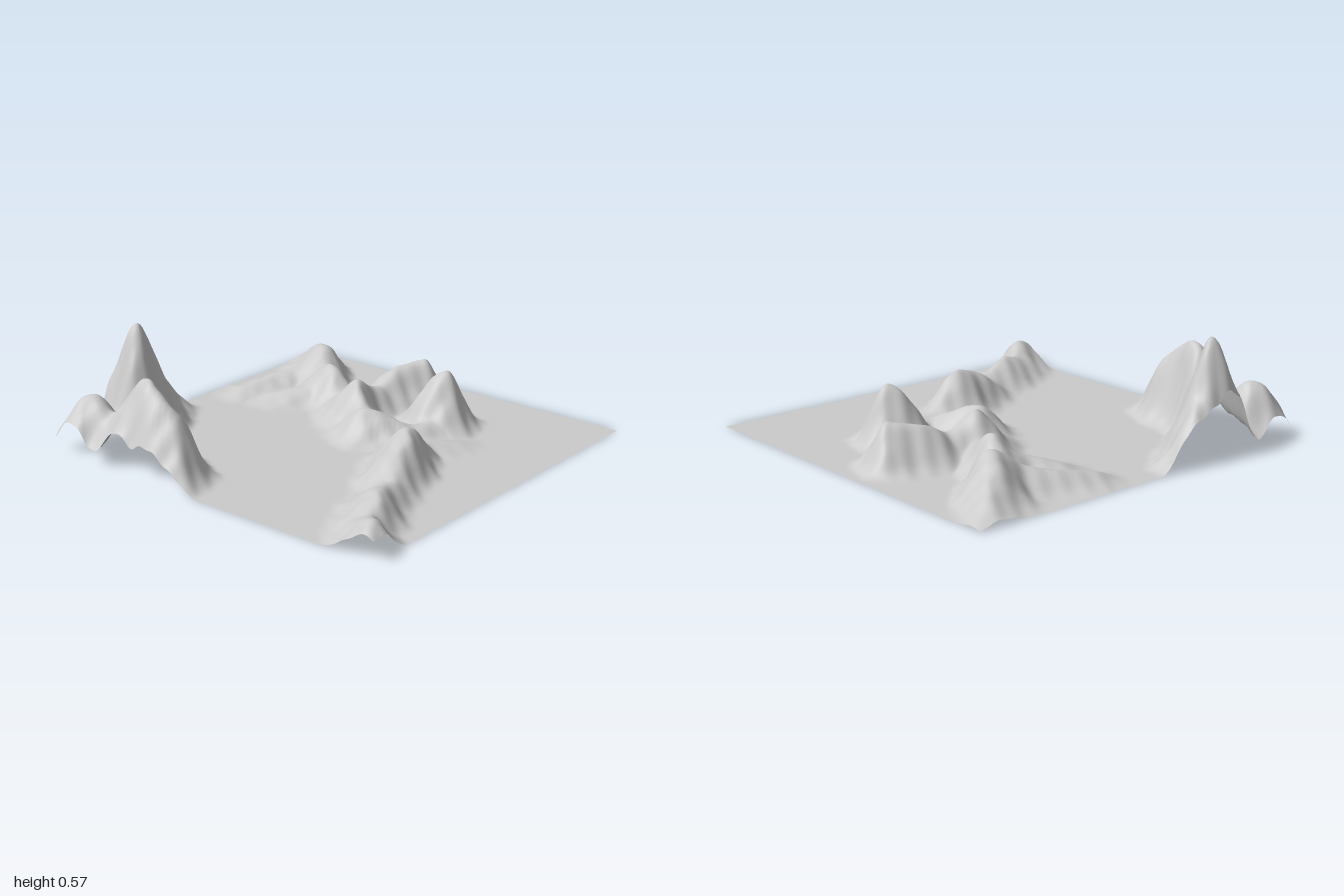
import * as THREE from 'three';

// Crest lines of the mountain ridges, as [x, z, height]
const crests = [
  // tall back-left massif with its corner and side spurs
  [[-0.91, -0.23, 0.15], [-0.87, -0.29, 0.29], [-0.82, -0.51, 0.4], [-0.73, -0.68, 0.22], [-0.6, -0.79, 0.28],
    [-0.53, -0.87, 0.57], [-0.42, -0.91, 0.34], [-0.27, -0.97, 0.17]],
  [[-0.95, -0.87, 0.18], [-0.87, -0.85, 0.29], [-0.85, -0.7, 0.2], [-0.82, -0.55, 0.3]],
  [[-0.84, -0.48, 0.27], [-1.02, -0.56, 0.18]],
  // long front-left ridge with a low apron
  [[-1.03, 1, 0.07], [-0.92, 0.93, 0.145], [-0.8, 0.83, 0.1], [-0.65, 0.74, 0.13], [-0.4, 0.63, 0.09],
    [-0.23, 0.55, 0.17], [-0.07, 0.475, 0.2], [0.01, 0.44, 0.13], [0.1, 0.41, 0.05], [0.3, 0.5, 0.02]],
  // front-right horn, curling round to the middle peak
  [[0.51, 0.275, 0.29], [0.43, 0.29, 0.12], [0.27, 0.27, 0.07], [0.13, 0.08, 0.15], [0.2, 0, 0.12], [0.29, -0.12, 0.18],
    [0.5, -0.14, 0.13], [0.62, -0.12, 0.19], [0.76, -0.06, 0.22]],
  // back-right chain and its low spurs
  [[0.3, -0.13, 0.17], [0.38, -0.28, 0.09], [0.46, -0.43, 0.18], [0.53, -0.55, 0.12], [0.65, -0.65, 0.2],
    [0.78, -0.8, 0.13], [0.9, -0.91, 0.05]],
  [[0.6, -0.66, 0.13], [0.22, -0.83, 0.05]],
  [[0.45, -0.42, 0.12], [0.24, -0.63, 0.05]],
];

// Points along a smooth curve through each crest
function sampleCrest(crest) {
  const line = new THREE.CatmullRomCurve3(crest.map(([x, z, h]) => new THREE.Vector3(x, h, z)));
  return line.getPoints(crest.length * 10);
}

// Height of one ridge: higher crests spread wider, and the (+x, +z) slope is steeper
function ridgeHeight(samples, x, z) {
  let best = 0;
  for (const p of samples) {
    const dx = x - p.x, dz = z - p.z;
    const d = Math.hypot(dx, dz);
    const side = d > 0 ? (dx + dz) / (d * Math.SQRT2) : 0;
    const width = Math.min(0.16 + 0.3 * p.y, 0.26) * (1.1 - 0.18 * side);
    const t = 1 - d / width;
    if (t > 0) best = Math.max(best, p.y * (t * t * (3 - 2 * t)) ** 1.4);
  }
  return best;
}

export function createModel() {
  const group = new THREE.Group();
  const ridges = crests.map(sampleCrest);
  const geometry = new THREE.PlaneGeometry(2, 2, 160, 160).rotateX(-Math.PI / 2);
  const pos = geometry.attributes.position;

  for (let i = 0; i < pos.count; i++) {
    const x = pos.getX(i), z = pos.getZ(i);
    // a small wobble roughens the slopes
    const wx = x + 0.01 * Math.sin(23 * z + 9 * x) + 0.004 * Math.sin(61 * z - 20 * x);
    const wz = z + 0.01 * Math.sin(21 * x - 8 * z) + 0.004 * Math.sin(57 * x + 25 * z);
    // ridges blend by a soft maximum
    let sum = 0;
    for (const ridge of ridges) sum += ridgeHeight(ridge, wx, wz) ** 4;
    pos.setY(i, sum ** 0.25);
  }
  geometry.computeVertexNormals();

  const terrain = new THREE.Mesh(geometry, new THREE.MeshStandardMaterial({ color: 0xcccccc, side: THREE.DoubleSide }));
  terrain.name = 'terrain';
  group.add(terrain);
  return group;
}
